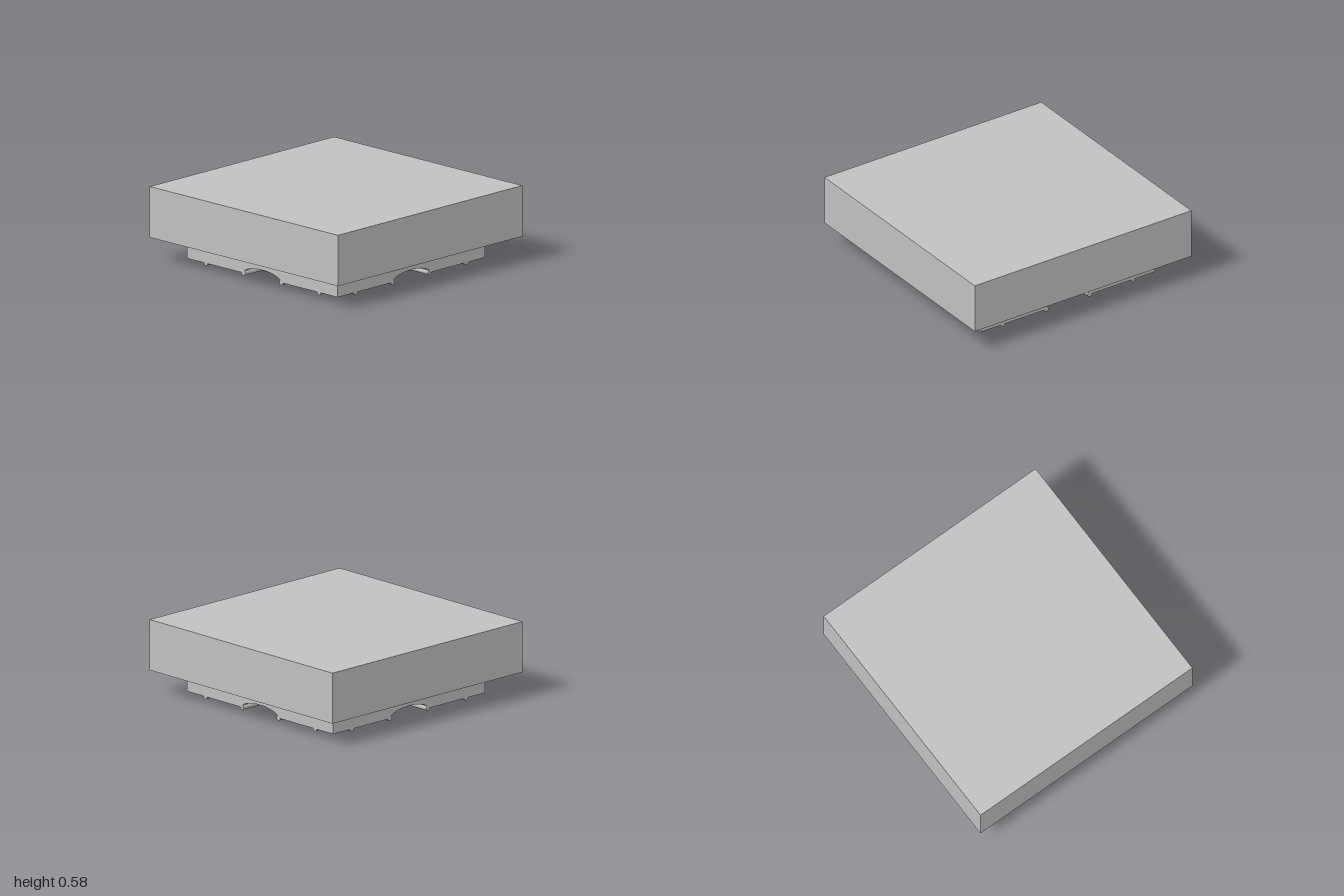
import * as THREE from 'three';
import { toCreasedNormals } from 'three/addons/utils/BufferGeometryUtils.js';

const HALF = 0.8, BASE = 0.02, TOP = 0.14;  // lower slab
const GROOVE = 0.2, RISE = 0.06;            // elliptical vault

// Height of one barrel groove across its width
const vault = (t) => BASE + RISE * Math.sqrt(Math.max(0, 1 - (t / GROOVE) ** 2));

// Slab whose underside is cut by two crossing elliptical grooves
function vaultedSlab() {
  const N = 32, steps = [-HALF];
  for (let i = 0; i <= N; i++) steps.push(-GROOVE * Math.cos((i / N) * Math.PI));
  steps.push(HALF);

  const pos = [];
  const tri = (...pts) => pts.forEach((p) => pos.push(...p));
  const quad = (a, b, c, d) => { tri(a, b, c); tri(a, c, d); };
  const under = (x, z) => [x, Math.max(vault(x), vault(z)), z];

  for (let i = 0; i < steps.length - 1; i++) {
    const s = steps[i], t = steps[i + 1];
    // Underside, with the diagonals following the groin lines
    for (let j = 0; j < steps.length - 1; j++) {
      const z0 = steps[j], z1 = steps[j + 1];
      const a = under(s, z0), b = under(t, z0), c = under(t, z1), d = under(s, z1);
      if ((s + t) * (z0 + z1) > 0) quad(a, b, c, d);
      else quad(b, c, d, a);
    }
    // One strip of each side wall
    for (let k = 0; k < 4; k++) {
      const cos = [1, 0, -1, 0][k], sin = [0, 1, 0, -1][k];
      const p = (u, y) => [u * cos + HALF * sin, y, HALF * cos - u * sin];
      quad(p(s, vault(s)), p(t, vault(t)), p(t, TOP), p(s, TOP));
    }
  }
  quad([-HALF, TOP, HALF], [HALF, TOP, HALF], [HALF, TOP, -HALF], [-HALF, TOP, -HALF]);

  const g = new THREE.BufferGeometry();
  g.setAttribute('position', new THREE.Float32BufferAttribute(pos, 3));
  return toCreasedNormals(g, 0.5);
}

export function createModel() {
  const model = new THREE.Group();
  const grey = new THREE.MeshStandardMaterial({ color: 0xc0c0c0 });
  grey.name = 'grey';

  const add = (name, geometry, x, y, z) => {
    const mesh = new THREE.Mesh(geometry, grey);
    mesh.name = name;
    mesh.position.set(x, y, z);
    model.add(mesh);
    return mesh;
  };

  // Thick block floating above the slab
  add('upperBlock', new THREE.BoxGeometry(2, 0.4, 2), 0, 0.385, 0);
  add('vaultedSlab', vaultedSlab(), 0, 0, 0);

  // Grid of round bars half sunk into the underside
  const bar = new THREE.CylinderGeometry(0.02, 0.02, 1.599, 24);
  for (const p of [-0.6, -0.2, 0.2, 0.6]) {
    add('crossBar', bar, 0, 0.02, p).rotation.z = Math.PI / 2;
    add('lengthBar', bar, p, 0.02, 0).rotation.x = Math.PI / 2;
  }

  // Small beads along the crowns of the vaults
  const bead = new THREE.SphereGeometry(0.02, 20, 14);
  for (const [x, z] of [[0, 0], [0.4, 0], [-0.4, 0], [0, 0.4], [0, -0.4]]) {
    add('bead', bead, x, 0.08, z);
  }
  return model;
}
